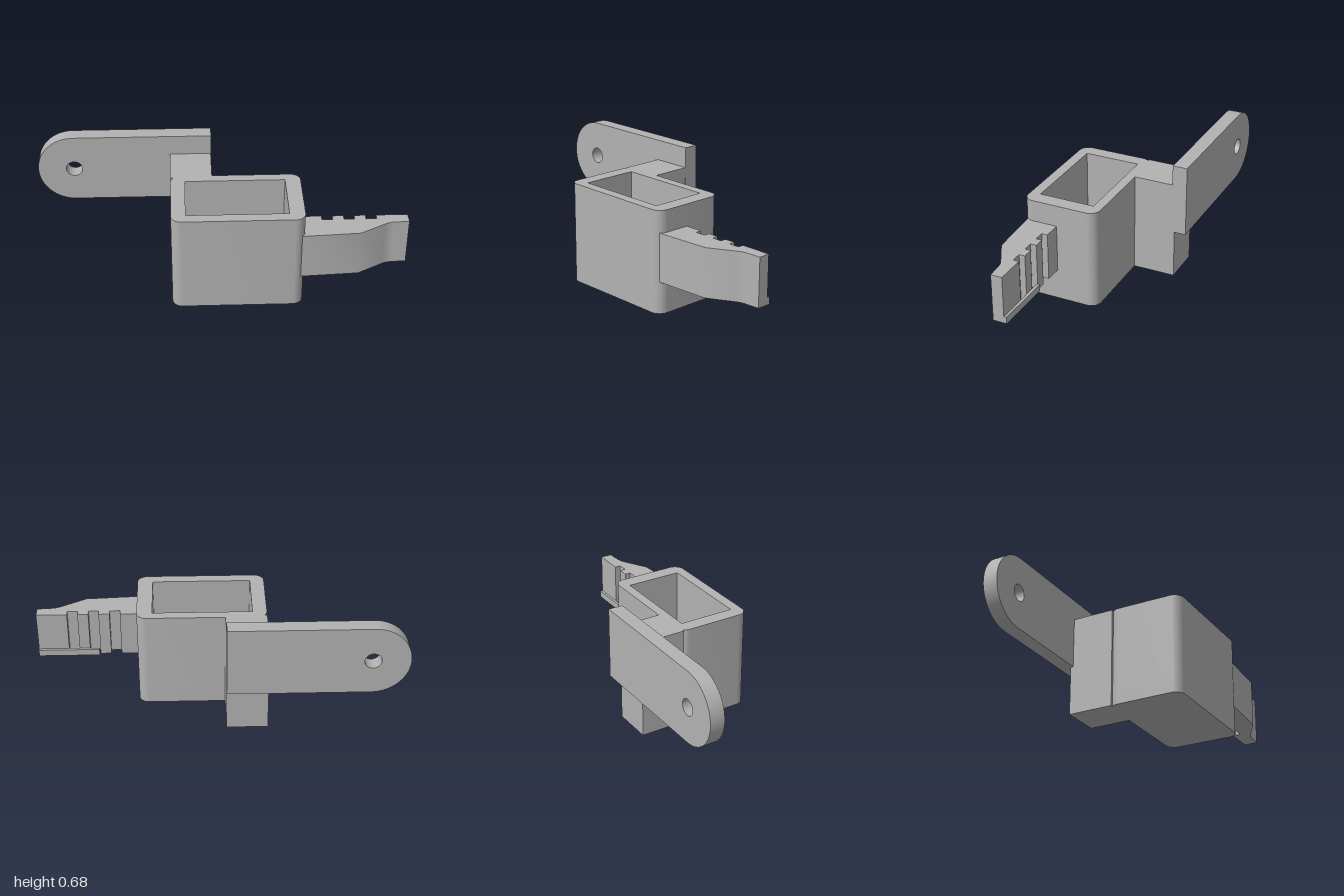
import * as THREE from 'three';
import { toCreasedNormals } from 'three/addons/utils/BufferGeometryUtils.js';

const grey = new THREE.MeshStandardMaterial({ color: 0xb2b2b2 });
grey.name = 'grey plastic';

function addMesh(group, name, geometry) {
  const mesh = new THREE.Mesh(toCreasedNormals(geometry, 0.5), grey);
  mesh.name = name;
  group.add(mesh);
}

// Extrudes a plan outline (x, -z) upward from y0 to y1
function plan(shape, y0, y1) {
  const g = new THREE.ExtrudeGeometry(shape, { depth: y1 - y0, bevelEnabled: false, curveSegments: 8 });
  return g.rotateX(-Math.PI / 2).translate(0, y0, 0);
}

function box(x0, x1, y0, y1, z0, z1) {
  return new THREE.BoxGeometry(x1 - x0, y1 - y0, z1 - z0)
    .translate((x0 + x1) / 2, (y0 + y1) / 2, (z0 + z1) / 2);
}

// Rounded rectangle in plan
function roundedPlan(x0, x1, z0, z1, r) {
  const s = new THREE.Shape();
  s.absarc(x1 - r, -z0 - r, r, 0, Math.PI / 2);
  s.absarc(x0 + r, -z0 - r, r, Math.PI / 2, Math.PI);
  s.absarc(x0 + r, -z1 + r, r, Math.PI, Math.PI * 1.5);
  s.absarc(x1 - r, -z1 + r, r, Math.PI * 1.5, Math.PI * 2);
  s.closePath();
  return s;
}

export function createModel() {
  const model = new THREE.Group();
  model.name = 'bracket';

  // Open-topped holder: solid floor and a wall around the pocket
  const floor = 0.08;
  const outline = () => roundedPlan(-0.265, 0.437, -0.06, 0.363, 0.055);
  addMesh(model, 'holderFloor', plan(outline(), 0, floor));
  const wall = outline();
  wall.holes.push(new THREE.Path([
    [-0.187, 0.007], [0.353, 0.007], [0.353, -0.305], [-0.187, -0.305],
  ].map(([x, y]) => new THREE.Vector2(x, y))));
  addMesh(model, 'holderWall', plan(wall, floor, 0.56));

  // Post joining the holder to the mounting plate
  addMesh(model, 'post', box(-0.265, -0.04, 0, 0.56, -0.297, -0.042));

  // Mounting plate with a round end and a screw hole
  const plate = new THREE.Shape();
  plate.moveTo(-0.8, 0.275);
  plate.lineTo(-0.038, 0.275);
  plate.lineTo(-0.038, 0.675);
  plate.lineTo(-0.8, 0.675);
  plate.absarc(-0.8, 0.475, 0.2, Math.PI / 2, Math.PI * 1.5);
  const hole = new THREE.Path();
  hole.absarc(-0.8, 0.475, 0.045, 0, Math.PI * 2, true);
  plate.holes.push(hole);
  const plateGeometry = new THREE.ExtrudeGeometry(plate, { depth: 0.082, bevelEnabled: false, curveSegments: 24 });
  addMesh(model, 'mountingPlate', plateGeometry.translate(0, 0, -0.363));

  // Side arm: tapered front, three slots cut across the back
  const arm = new THREE.Shape();
  arm.moveTo(0.41, -0.347);
  arm.lineTo(0.73, -0.328);
  arm.lineTo(0.87, -0.25);
  arm.quadraticCurveTo(0.895, -0.237, 0.92, -0.236);
  arm.lineTo(1, -0.231);
  arm.lineTo(1, -0.168);
  for (const [right, left] of [[0.83, 0.772], [0.712, 0.655], [0.595, 0.537]]) {
    arm.lineTo(right, -0.168);
    arm.lineTo(right, -0.201);
    arm.lineTo(left, -0.201);
    arm.lineTo(left, -0.168);
  }
  arm.lineTo(0.41, -0.168);
  arm.closePath();
  addMesh(model, 'arm', plan(arm, 0.175, 0.44));

  // Ledge along the lower back edge of the arm
  addMesh(model, 'armLedge', box(0.66, 1, 0.175, 0.213, 0.153, 0.169));

  return model;
}
